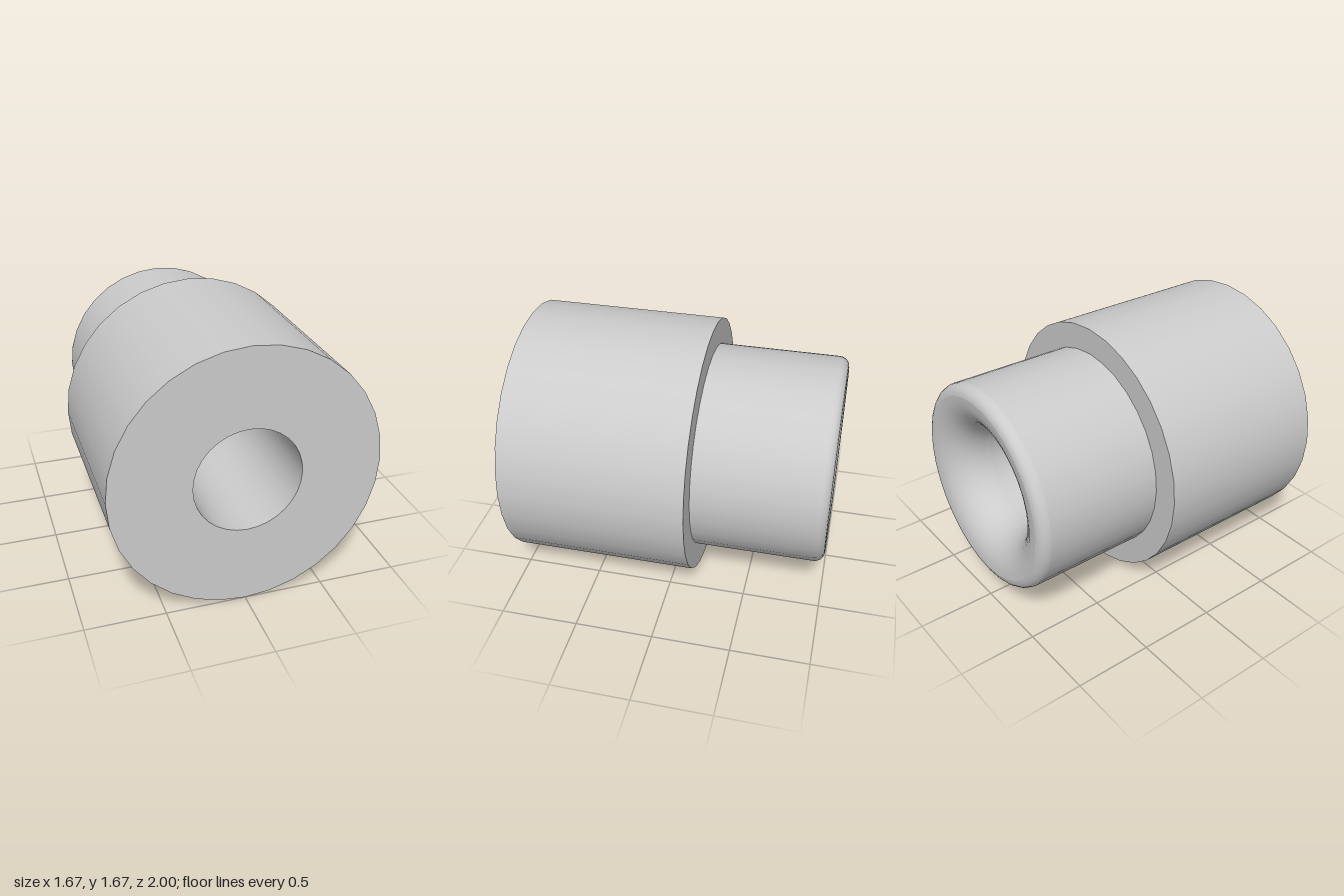
import * as THREE from 'three';

const SIDES = 32;
const BODY_R = 0.833, NECK_R = 0.667, BORE_R = 0.333;
const FRONT = 1, STEP = -0.167, BACK = -1;
const EDGE_R = 0.067;                      // outer rounding of the neck
const RIM_R = NECK_R - EDGE_R;             // ring where the two roundings meet
const MOUTH_R = RIM_R - BORE_R;            // flare from the rim into the bore

// Points of a circular arc in (radius, z)
function arc(r, z, size, from, to, steps) {
  return Array.from({ length: steps + 1 }, (_, i) => {
    const a = from + (to - from) * i / steps;
    return new THREE.Vector2(r + size * Math.cos(a), z + size * Math.sin(a));
  });
}

export function createModel() {
  const group = new THREE.Group();
  const material = new THREE.MeshStandardMaterial({ color: 0xcccccc });

  // Turned surface around the z axis; separate sections keep the edges sharp
  const turn = (name, points) => {
    const geometry = new THREE.LatheGeometry(points, SIDES);
    geometry.rotateX(Math.PI / 2);
    geometry.translate(0, BODY_R, 0);
    const mesh = new THREE.Mesh(geometry, material);
    mesh.name = name;
    group.add(mesh);
  };
  const p = (r, z) => new THREE.Vector2(r, z);

  // Wide front cylinder
  turn('frontFace', [p(BODY_R, FRONT), p(BORE_R, FRONT)]);
  turn('bodyWall', [p(BODY_R, STEP), p(BODY_R, FRONT)]);
  turn('shoulder', [p(NECK_R, STEP), p(BODY_R, STEP)]);

  // Through bore, flared at the back
  turn('bore', [p(BORE_R, FRONT), p(BORE_R, BACK + MOUTH_R)]);
  turn('flaredMouth', arc(RIM_R, BACK + MOUTH_R, MOUTH_R, Math.PI, Math.PI * 1.5, 10));

  // Narrow back cylinder with a rounded outer edge
  turn('neckEdge', arc(RIM_R, BACK + EDGE_R, EDGE_R, -Math.PI / 2, 0, 5));
  turn('neckWall', [p(NECK_R, BACK + EDGE_R), p(NECK_R, STEP)]);

  return group;
}
